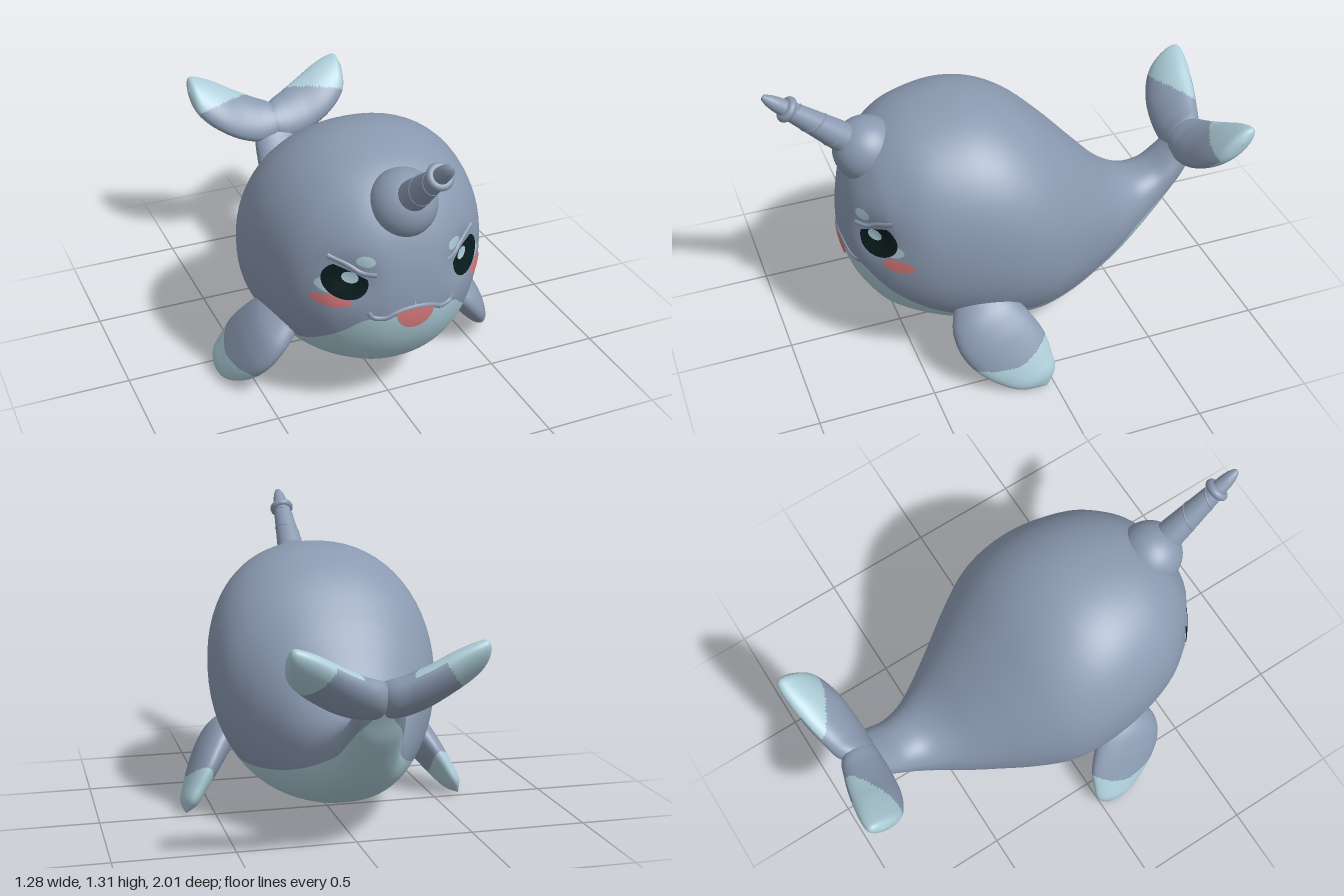
import * as THREE from 'three';

const mat = (name, color) => {
  const m = new THREE.MeshStandardMaterial({ color });
  m.name = name;
  return m;
};

// Smooth interpolation of table rows at position t
function rowAt(rows, t) {
  const n = rows.length - 1;
  const i = Math.min(Math.floor(t), n - 1), f = t - i;
  const [a, b, c, d] = [Math.max(i - 1, 0), i, i + 1, Math.min(i + 2, n)].map(k => rows[k]);
  return b.map((_, k) => 0.5 * (2 * b[k] + (c[k] - a[k]) * f
    + (2 * a[k] - 5 * b[k] + 4 * c[k] - d[k]) * f * f
    + (3 * b[k] - a[k] - 3 * c[k] + d[k]) * f * f * f));
}

// Closed-ring surface from point(u, v); side -1 mirrors it; pick chooses each quad's material
function loft(name, mats, nu, nv, point, side = 1, pick = () => 0) {
  const pos = [], tris = mats.map(() => []);
  for (let i = 0; i <= nu; i++) for (let j = 0; j < nv; j++) {
    const [x, y, z] = point(i / nu, j / nv);
    pos.push(side * x, y, z);
  }
  for (let i = 0; i < nu; i++) for (let j = 0; j < nv; j++) {
    const k = (j + 1) % nv;
    const a = i * nv + j, b = a + nv, c = (i + 1) * nv + k, d = i * nv + k;
    tris[pick((i + 0.5) / nu, (j + 0.5) / nv)].push(...(side > 0 ? [a, b, c, a, c, d] : [a, c, b, a, d, c]));
  }
  const g = new THREE.BufferGeometry();
  g.setAttribute('position', new THREE.Float32BufferAttribute(pos, 3));
  g.setIndex(tris.flat());
  let start = 0;
  tris.forEach((t, k) => { g.addGroup(start, t.length, k); start += t.length; });
  g.computeVertexNormals();
  const mesh = new THREE.Mesh(g, mats.length > 1 ? mats : mats[0]);
  mesh.name = name;
  return mesh;
}

// Body sections, nose to tail: z, top, bottom, half width, belly line height
const BODY = [
  [0.742, 0.61, 0.61, 0, 0.54], [0.735, 0.70, 0.52, 0.08, 0.54], [0.72, 0.79, 0.455, 0.145, 0.54],
  [0.69, 0.89, 0.38, 0.215, 0.525], [0.64, 0.98, 0.30, 0.285, 0.47], [0.58, 1.045, 0.235, 0.345, 0.42],
  [0.48, 1.105, 0.18, 0.415, 0.355], [0.36, 1.138, 0.13, 0.46, 0.30], [0.22, 1.148, 0.095, 0.488, 0.27],
  [0.08, 1.118, 0.07, 0.494, 0.258], [-0.06, 1.04, 0.062, 0.47, 0.257], [-0.2, 0.91, 0.082, 0.402, 0.262],
  [-0.34, 0.757, 0.125, 0.315, 0.285], [-0.47, 0.622, 0.185, 0.235, 0.325], [-0.58, 0.567, 0.25, 0.17, 0.375],
  [-0.68, 0.58, 0.335, 0.13, 0.43], [-0.76, 0.635, 0.43, 0.115, 0.495], [-0.82, 0.69, 0.51, 0.105, 0.55],
  [-0.86, 0.725, 0.59, 0.09, 0.60], [-0.895, 0.745, 0.66, 0.06, 0.66], [-0.91, 0.71, 0.71, 0, 0.69],
];
const FULL = 2.2; // section roundness, 2 being an ellipse
const power = (s, p) => Math.sign(s) * Math.abs(s) ** p;

// Shallow eye sockets pressed into the face
const socket = (x, y) => 0.035 * Math.exp(-((Math.abs(x) - 0.25) ** 2 + (y - 0.71) ** 2) / 0.0065);

// Depth of the face surface under (x, y)
function faceZ(x, y) {
  let lo = 0, hi = 9;
  for (let k = 0; k < 30; k++) {
    const t = (lo + hi) / 2, [, top, bot, w] = rowAt(BODY, t);
    const dx = Math.abs(x) / (w + 1e-6);
    const dy = Math.abs(y - (top + bot) / 2) / ((top - bot) / 2 + 1e-6);
    if (dx ** FULL + dy ** FULL < 1) hi = t; else lo = t;
  }
  return rowAt(BODY, hi)[0] - socket(x, y);
}

// Limb sections: spine x, y, z, half chord, half thickness
const FLIPPER = [
  [0.36, 0.37, 0.26, 0.11, 0.06], [0.425, 0.31, 0.25, 0.15, 0.07], [0.48, 0.235, 0.215, 0.17, 0.07],
  [0.53, 0.16, 0.165, 0.165, 0.06], [0.575, 0.09, 0.115, 0.13, 0.048], [0.607, 0.04, 0.07, 0.085, 0.034],
  [0.625, 0.006, 0.035, 0, 0],
];
const FLUKE = [
  [-0.05, 0.69, -0.86, 0, 0], [0, 0.685, -0.862, 0.085, 0.06], [0.08, 0.70, -0.872, 0.115, 0.062],
  [0.17, 0.735, -0.885, 0.13, 0.06], [0.26, 0.785, -0.898, 0.132, 0.056], [0.335, 0.83, -0.915, 0.115, 0.048],
  [0.375, 0.86, -0.928, 0.08, 0.034], [0.39, 0.875, -0.937, 0, 0],
];

export function createModel() {
  const group = new THREE.Group();
  const grey = mat('slateGrey', 0x8b9ab1);
  const pale = mat('paleBlue', 0xacccd7);
  const pink = mat('pink', 0xd67a7d);
  const dark = mat('darkEye', 0x0a1c1d);

  // Body, with the belly split exactly along its line
  group.add(loft('body', [grey, pale], 120, 80, (u, v) => {
    const [z, top, bot, w, line] = rowAt(BODY, u * (BODY.length - 1));
    const cy = (top + bot) / 2, ry = (top - bot) / 2;
    const s = THREE.MathUtils.clamp((line - cy) / (ry + 1e-6), -0.995, 0.9);
    const a = Math.asin(power(s, FULL / 2));
    const th = v < 0.6 ? a + (Math.PI - 2 * a) * v / 0.6
      : Math.PI - a + (Math.PI + 2 * a) * (v - 0.6) / 0.4;
    const x = w * power(Math.cos(th), 2 / FULL), y = cy + ry * power(Math.sin(th), 2 / FULL);
    return [x, y, z > 0.3 ? z - socket(x, y) : z];
  }, 1, (u, v) => (v < 0.6 ? 0 : 1)));

  // Flippers and tail flukes: flat lofted limbs with pale tips
  const limb = (name, rows, chord, spine, side, isPale) => {
    const C = new THREE.Vector3(...chord).normalize();
    const N = C.clone().cross(new THREE.Vector3(...spine)).normalize();
    const n = rows.length - 1;
    group.add(loft(name, [grey, pale], 98, 64, (u, v) => {
      const [x, y, z, hc, th] = rowAt(rows, u * n);
      const c = Math.max(hc, 0) * Math.cos(v * 2 * Math.PI), s = Math.max(th, 0) * Math.sin(v * 2 * Math.PI);
      return [x + C.x * c + N.x * s, y + C.y * c + N.y * s, z + C.z * c + N.z * s];
    }, side, (u, v) => (isPale(u * n, Math.cos(v * 2 * Math.PI), v < 0.5) ? 1 : 0)));
  };

  // Painted face patch that follows the body surface
  const patch = (name, m, side, cx, cy, rx, ry, lift, shape = (x, y) => [x, y]) =>
    group.add(loft(name, [m], 8, 40, (u, v) => {
      const [dx, dy] = shape(rx * Math.cos(v * 2 * Math.PI), ry * Math.sin(v * 2 * Math.PI));
      const x = cx + dx * u, y = cy + dy * u;
      return [x, y, faceZ(x, y) + lift];
    }, side));

  // Low fold half sunk into the face
  const fold = (name, pts, r) => {
    const curve = new THREE.CatmullRomCurve3(pts.map(([x, y]) => new THREE.Vector3(x, y, faceZ(x, y) - r * 0.4)));
    const mesh = new THREE.Mesh(new THREE.TubeGeometry(curve, 48, r, 10), grey);
    mesh.name = name;
    group.add(mesh);
  };

  for (const [side, label] of [[1, 'left'], [-1, 'right']]) {
    limb(label + 'Flipper', FLIPPER, [0.1, -0.35, 0.93], [0.22, -0.36, -0.2], side,
      (t, c) => t > 3.6 - (c > 0 ? 0.8 : 0.5) * c * c);
    // Upper faces carry a pale trailing band, undersides only pale tips
    limb(label + 'Fluke', FLUKE, [0, 0.69, -0.72], [0.38, 0.19, -0.07], side,
      (t, c, under) => (under ? t + 0.7 * c > 4.1 : t + 1.7 * c > 3.9));
    patch(label + 'EyeWhite', pale, side, 0.3, 0.672, 0.06, 0.035, 0.005);
    patch(label + 'Eye', dark, side, 0.262, 0.698, 0.078, 0.078, 0.009,
      (x, y) => [x, Math.min(y, 0.052 + 0.5 * x)]);
    patch(label + 'EyeShine', pale, side, 0.243, 0.714, 0.028, 0.025, 0.013);
    patch(label + 'BrowSpot', pale, side, 0.19, 0.79, 0.033, 0.024, 0.007);
    fold(label + 'BrowFold', [[0.15, 0.73], [0.2, 0.735], [0.25, 0.768], [0.31, 0.797]]
      .map(([x, y]) => [side * x, y]), 0.012);
  }
  patch('leftCheek', pink, 1, 0.343, 0.605, 0.047, 0.032, 0.008);
  patch('rightCheek', pink, -1, 0.312, 0.607, 0.066, 0.028, 0.008);

  // Mouth
  patch('tongue', pink, 1, 0, 0.555, 0.08, 0.08, 0.008, (x, y) => [x, y > 0 ? y * 0.18 : y]);
  const half = [[0.185, 0.568], [0.165, 0.543], [0.12, 0.538], [0.085, 0.555], [0.04, 0.568]];
  fold('upperLip', [...half.map(([x, y]) => [-x, y]), [0, 0.571], ...half.slice().reverse()], 0.012);

  // Horn with its round base, spiral ridge and ring
  const base = new THREE.Mesh(new THREE.SphereGeometry(0.14, 40, 28), grey);
  base.name = 'hornBase';
  base.position.set(0, 0.97, 0.6);
  group.add(base);

  const horn = new THREE.Group();
  horn.name = 'horn';
  horn.position.set(0, 0.985, 0.62);
  horn.rotation.x = 0.86;
  const profile = [[0.07, 0], [0.06, 0.14], [0.049, 0.26], [0.039, 0.37], [0.033, 0.4], [0.031, 0.43],
    [0.024, 0.465], [0.013, 0.492], [0, 0.5]].map(([x, y]) => new THREE.Vector2(x, y));
  const shaft = new THREE.Mesh(new THREE.LatheGeometry(profile, 32), grey);
  shaft.name = 'hornShaft';
  const spiral = [];
  for (let k = 0; k <= 40; k++) {
    const f = k / 40, a = f * Math.PI * 4, r = 0.058 - 0.021 * f;
    spiral.push(new THREE.Vector3(r * Math.cos(a), 0.13 + 0.24 * f, r * Math.sin(a)));
  }
  const ridge = new THREE.Mesh(new THREE.TubeGeometry(new THREE.CatmullRomCurve3(spiral), 120, 0.005, 6), grey);
  ridge.name = 'hornSpiral';
  const ring = new THREE.Mesh(new THREE.TorusGeometry(0.037, 0.018, 14, 32), grey);
  ring.name = 'hornRing';
  ring.rotation.x = Math.PI / 2;
  ring.position.y = 0.378;
  horn.add(shaft, ridge, ring);
  group.add(horn);
  return group;
}
